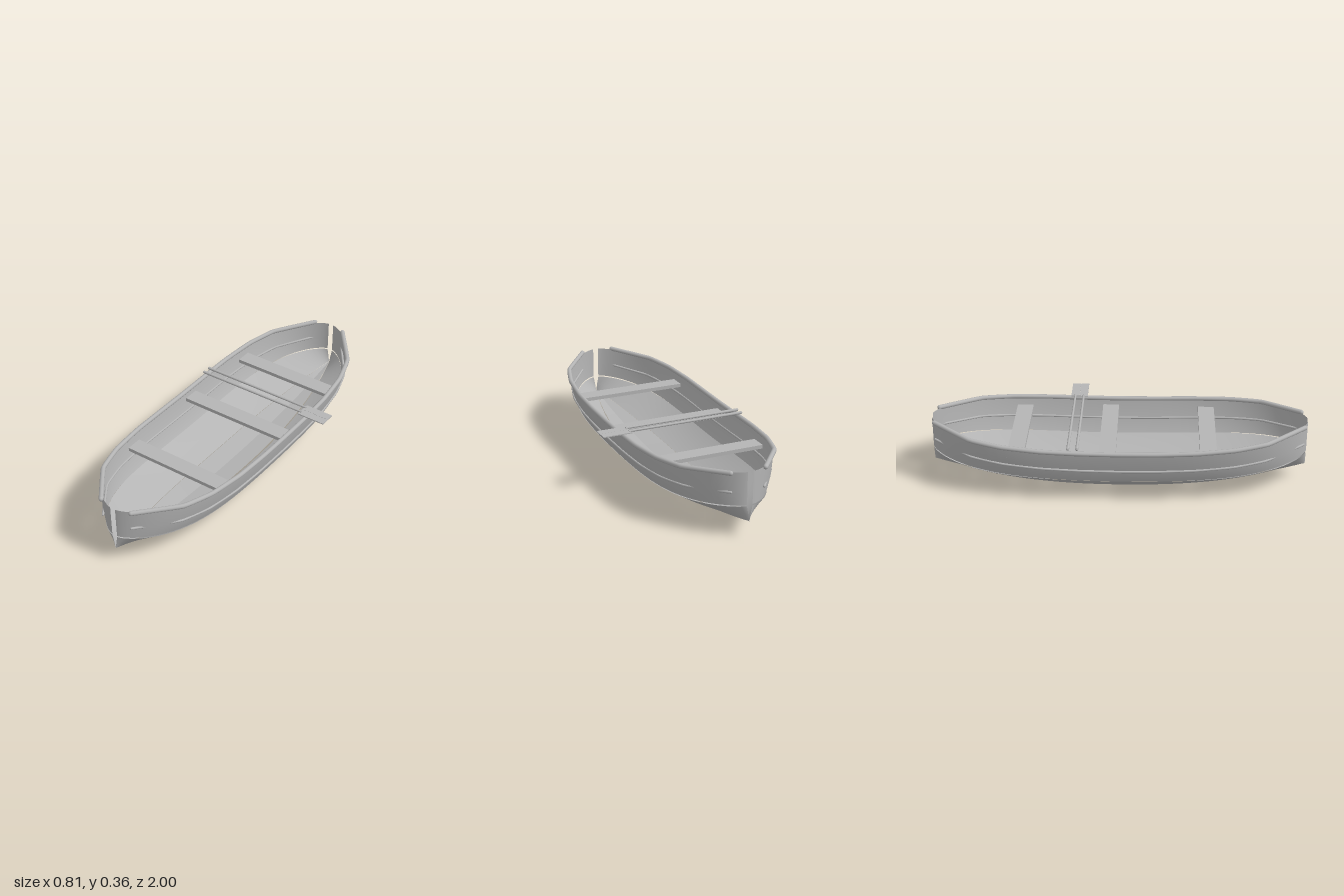
import * as THREE from 'three';

const CX = -0.055; // hull centreline
const wood = new THREE.MeshStandardMaterial({ color: 0xb4b4b4, side: THREE.DoubleSide });
wood.name = 'grey wood';

const full = (z) => Math.pow(Math.max(0, 1 - Math.pow(Math.abs(z), 4)), 0.7); // plan fullness
const lean = (z) => 1 - Math.pow(Math.abs(z), 2.5); // finer plan for the lowest seam

// hull line: half width and height amidships and at the stem
const line = (w, y, wEnd, yEnd, plan = full, pow = 2) => (z) => [
  wEnd + (w - wEnd) * plan(z),
  y + (yEnd - y) * Math.pow(Math.abs(z), pow),
];

const keel = line(0, 0.003, 0, 0.088, lean, 2.2);
const garboard = line(0.105, 0.016, 0, 0.09, lean);
const bilgeLow = line(0.11, 0.012, 0.001, 0.09, lean);
const bilgeMid = line(0.205, 0.054, 0.006, 0.125, (z) => (full(z) + lean(z)) / 2);
const chine = line(0.282, 0.114, 0.015, 0.171);
const sideLow = line(0.28, 0.114, 0.015, 0.178);
const sideMid = line(0.314, 0.19, 0.015, 0.25);
const sheer = line(0.33, 0.3, 0.015, 0.35);

function addMesh(parent, name, geometry) {
  const mesh = new THREE.Mesh(geometry, wood);
  mesh.name = name;
  parent.add(mesh);
  return mesh;
}

// skin stretched between hull lines, each given as [line, side]
function panel(rows) {
  const N = 48, pos = [], idx = [];
  rows.forEach(([fn, side]) => {
    for (let i = 0; i <= N; i++) {
      const z = Math.sin(((i / N) * 2 - 1) * Math.PI / 2);
      const [w, y] = fn(z);
      pos.push(CX + side * w, y, z);
    }
  });
  const flip = rows[rows.length - 1][1] < 0;
  for (let r = 0; r < rows.length - 1; r++) {
    for (let i = 0; i < N; i++) {
      const a = r * (N + 1) + i, b = a + 1, c = a + N + 1, d = c + 1;
      if (flip) idx.push(a, b, c, b, d, c);
      else idx.push(a, c, b, b, c, d);
    }
  }
  const g = new THREE.BufferGeometry();
  g.setAttribute('position', new THREE.Float32BufferAttribute(pos, 3));
  g.setIndex(idx);
  g.computeVertexNormals();
  return g;
}

// round-ended moulding that follows the hull in coarse steps
function moulding(name, side, fn, tip, out, r) {
  const group = new THREE.Group();
  group.name = name;
  const half = [0, 0.2, 0.4, 0.6, 0.77];
  const zs = [...half.slice(1).reverse().map((z) => -z), ...half];
  const pts = zs.map((z) => {
    const [w, y] = fn(z);
    return new THREE.Vector3(CX + side * (w + out), y, z);
  });
  const end = (s) => new THREE.Vector3(CX + side * tip, fn(0.975)[1], s * 0.975);
  pts.unshift(end(-1));
  pts.push(end(1));
  const curve = new THREE.CatmullRomCurve3(pts, false, 'catmullrom', 0.15);
  addMesh(group, name + 'Bar', new THREE.TubeGeometry(curve, 80, r, 10));
  [pts[0], pts[pts.length - 1]].forEach((p) => {
    addMesh(group, name + 'End', new THREE.SphereGeometry(r, 10, 8)).position.copy(p);
  });
  return group;
}

export function createModel() {
  const boat = new THREE.Group();
  boat.name = 'rowingBoat';

  // bottom and planked sides
  addMesh(boat, 'leftBottom', panel([[keel, 1], [garboard, 1]]));
  addMesh(boat, 'rightBottom', panel([[keel, -1], [garboard, -1]]));
  for (const side of [1, -1]) {
    const label = side > 0 ? 'left' : 'right';
    addMesh(boat, label + 'Bilge', panel([[bilgeLow, side], [bilgeMid, side], [chine, side]]));
    addMesh(boat, label + 'Side', panel([[sideLow, side], [sideMid, side], [sheer, side]]));
    boat.add(moulding(label + 'Gunwale', side, sheer, 0.094, 0.006, 0.0125));
    boat.add(moulding(label + 'RubbingStrake', side, sideMid, 0.09, 0.002, 0.0065));
  }

  // bench seats: z, right end, left end
  [[-0.53, -0.352, 0.242], [-0.055, -0.375, 0.258], [0.47, -0.355, 0.243]].forEach(([z, x0, x1]) => {
    addMesh(boat, 'seat', new THREE.BoxGeometry(x1 - x0, 0.02, 0.088)).position.set((x0 + x1) / 2, 0.263, z);
  });

  // two oars laid across the gunwales
  for (const z of [-0.253, -0.207]) {
    const oar = new THREE.Group();
    oar.name = 'oar';
    const shaft = addMesh(oar, 'oarShaft', new THREE.CylinderGeometry(0.008, 0.006, 0.65, 10));
    shaft.rotation.z = Math.PI / 2;
    shaft.position.set(-0.07, 0.33, z);
    const grip = addMesh(oar, 'oarGrip', new THREE.SphereGeometry(0.008, 10, 8));
    grip.position.set(-0.392, 0.33, z);
    addMesh(oar, 'oarBlade', new THREE.BoxGeometry(0.16, 0.005, 0.045)).position.set(0.325, 0.327, z);
    boat.add(oar);
  }
  return boat;
}
